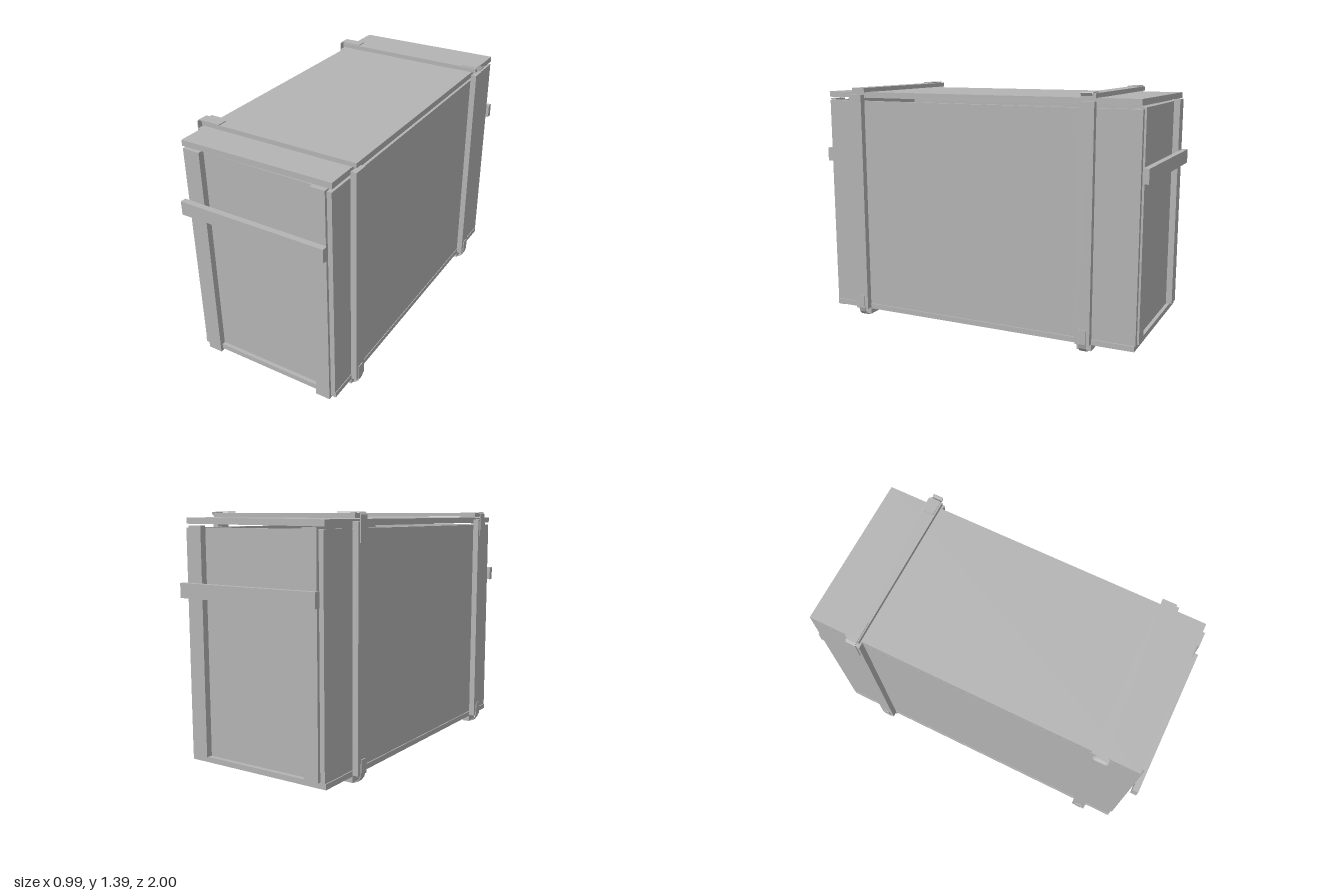
import * as THREE from 'three';

export function createModel() {
  const crate = new THREE.Group();
  crate.name = 'crate';
  const grey = new THREE.MeshStandardMaterial({ color: 0xb4b4b4 });
  grey.name = 'plain grey';

  // Board given by its limits along each axis
  function board(name, x0, x1, y0, y1, z0, z1, tilt = 0) {
    const mesh = new THREE.Mesh(new THREE.BoxGeometry(x1 - x0, y1 - y0, z1 - z0), grey);
    mesh.position.set((x0 + x1) / 2, (y0 + y1) / 2, (z0 + z1) / 2);
    mesh.rotation.z = tilt;
    mesh.name = name;
    crate.add(mesh);
  }

  // Thin metal band following an x-y path, thickened to the left of travel
  function band(name, path, z0, z1, thick = 0.005) {
    const pts = path.map(([x, y]) => new THREE.Vector2(x, y));
    const outer = pts.map((p, i) => {
      const a = pts[Math.max(i - 1, 0)], b = pts[Math.min(i + 1, pts.length - 1)];
      const d = b.clone().sub(a).normalize();
      return new THREE.Vector2(p.x - d.y * thick, p.y + d.x * thick);
    });
    const shape = new THREE.Shape([...pts, ...outer.reverse()]);
    const geo = new THREE.ExtrudeGeometry(shape, { depth: z1 - z0, bevelEnabled: false });
    const mesh = new THREE.Mesh(geo, grey);
    mesh.position.z = z0;
    mesh.name = name;
    crate.add(mesh);
  }

  // Box panels and slightly tilted lid
  board('floorPanel', -0.45, 0.44, 0.045, 0.075, -0.95, 0.95);
  board('leftPanel', 0.41, 0.437, 0.077, 1.31, -0.955, 0.95);
  board('rightPanel', -0.447, -0.42, 0.077, 1.31, -0.955, 0.95);
  board('frontPanel', -0.42, 0.41, 0.077, 1.31, 0.9, 0.93);
  board('backPanel', -0.42, 0.41, 0.077, 1.31, -0.93, -0.9);
  board('lid', -0.45, 0.44, 1.326, 1.359, -0.95, 0.95, 0.007);

  // Upright cleats and carrying bar on each end
  for (const [x0, x1] of [[-0.415, -0.33], [0.325, 0.41]]) {
    board('frontCleat', x0, x1, 0.03, 1.32, 0.93, 0.966);
    board('backCleat', x0, x1, 0.078, 1.32, -0.966, -0.93);
  }
  board('frontHandleBar', -0.46, 0.415, 0.94, 1.02, 0.966, 1);
  board('backHandleBar', -0.43, 0.45, 0.94, 1.02, -1, -0.966);

  // Two frames of battens round the box, with metal corner bands
  for (const z of [0.747, -0.672]) {
    const zTop = z > 0 ? 0.73 : -0.677;
    board('leftBatten', 0.438, 0.473, 0.05, 1.345, z - 0.041, z + 0.041);
    board('rightBatten', -0.484, -0.449, 0.05, 1.345, z - 0.041, z + 0.041);
    board('bottomBatten', -0.45, 0.44, 0.01, 0.045, z - 0.041, z + 0.041);
    board('topBatten', -0.468, 0.463, 1.361, 1.386, zTop - 0.041, zTop + 0.041);

    // Curved bands under the bottom corners
    band('leftBottomBand', [[0.473, 0.135], [0.473, 0.055], [0.466, 0.032], [0.448, 0.013], [0.425, 0.006], [0.39, 0.006]],
      z - 0.02, z + 0.02);
    band('rightBottomBand', [[-0.4, 0], [-0.44, 0.002], [-0.465, 0.012], [-0.483, 0.035], [-0.489, 0.06], [-0.492, 0.135]],
      z - 0.02, z + 0.02, -0.005);

    // Hinge bands over the top corners
    band('hingeBand', [[-0.488, 1.24], [-0.488, 1.378], [-0.48, 1.387], [-0.35, 1.387]], z - 0.03, z + 0.03);
  }

  // Hooked clasp on the rear top batten
  band('clasp', [[0.37, 1.387], [0.462, 1.387], [0.474, 1.372], [0.482, 1.372], [0.492, 1.388]], -0.705, -0.645);

  return crate;
}
